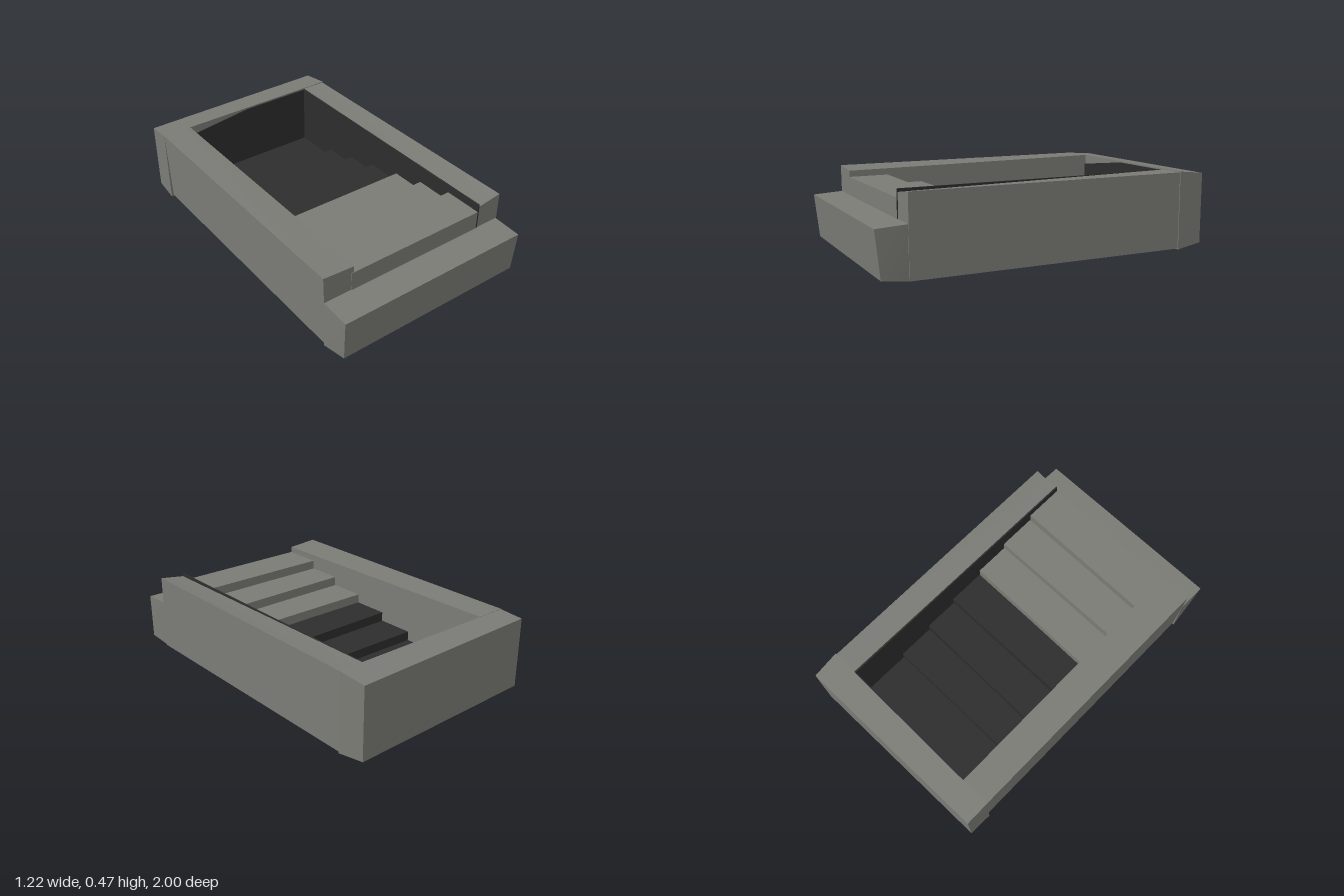
import * as THREE from 'three';

export function createModel() {
  const model = new THREE.Group();
  model.name = 'sunkenStaircase';
  const stone = new THREE.MeshStandardMaterial({ name: 'greyStone', color: 0x7b7b76 });
  const dark = new THREE.MeshStandardMaterial({ name: 'darkStone', color: 0x2d2d2d });

  // Rough-hewn block: a box between two corners, each corner nudged by a rule
  function block(name, material, [x0, x1], [y0, y1], [z0, z1], nudge) {
    const geo = new THREE.BoxGeometry(2, 2, 2);
    const p = geo.attributes.position;
    for (let i = 0; i < p.count; i++) {
      const right = p.getX(i) > 0, top = p.getY(i) > 0, front = p.getZ(i) > 0;
      const v = new THREE.Vector3(right ? x1 : x0, top ? y1 : y0, front ? z1 : z0);
      if (nudge) nudge(v, right, top, front);
      p.setXYZ(i, v.x, v.y, v.z);
    }
    geo.computeVertexNormals();
    const mesh = new THREE.Mesh(geo, material);
    mesh.name = name;
    model.add(mesh);
  }

  // Side walls
  block('rightWall', stone, [-0.61, -0.43], [0.01, 0.46], [-0.835, 0.825], (v, right, top, front) => {
    if (right && front) v.x = -0.42;
    if (right && top && front) v.y = 0.447;
    if (!right && !top) v.x = -0.595;
  });
  block('leftWall', stone, [0.447, 0.595], [0.01, 0.46], [-0.835, 0.825], (v, right, top, front) => {
    if (front && right) v.x = 0.6;
    if (front && top) v.y = right ? 0.463 : 0.44;
    if (!top && !right) v.y = 0;
  });
  block('leftWallLining', dark, [0.437, 0.445], [0.03, 0.457], [-0.83, 0.828]);

  // End blocks, their outer bottom edges lifted
  block('backWall', stone, [-0.61, 0.6], [0.005, 0.458], [-0.99, -0.835], (v, right, top, front) => {
    if (!front) {
      v.z = right ? -1 : -0.98;
      v.y = top ? 0.447 : 0.03;
      if (right) v.x = 0.59;
    } else if (top && right) v.y = 0.465;
  });
  block('frontSill', stone, [-0.605, 0.595], [0.01, 0.3], [0.825, 1], (v, right, top, front) => {
    if (front) v.y = top ? 0.29 : 0.03;
    if (front && !top) {
      v.z = 0.975;
      v.x = right ? 0.605 : -0.59;
    }
  });

  // Dark face inside the back wall, cut at one upper corner
  const face = new THREE.Shape([
    new THREE.Vector2(-0.43, 0.03), new THREE.Vector2(0.437, 0.03), new THREE.Vector2(0.437, 0.455),
    new THREE.Vector2(-0.01, 0.453), new THREE.Vector2(-0.43, 0.4),
  ]);
  const lining = new THREE.Mesh(
    new THREE.ExtrudeGeometry(face, { depth: 0.006, bevelEnabled: false }), dark);
  lining.position.z = -0.835;
  lining.name = 'backWallLining';
  model.add(lining);

  // Steps going down from the front to the back
  const edges = [0.828, 0.59, 0.365, 0.145, -0.08, -0.3, -0.52, -0.832];
  for (let i = 0; i < 7; i++) {
    const top = 0.41 - i * 0.055;
    block('step' + (i + 1), i < 3 ? stone : dark, [-0.435, 0.437],
      [i === 6 ? 0.05 : 0.012, top], [edges[i + 1], edges[i]],
      (v, right, isTop, front) => {
        if (!front && i < 6) v.z += (right ? 1 : -1) * (i % 2 ? -0.003 : 0.003);
      });
  }
  return model;
}
